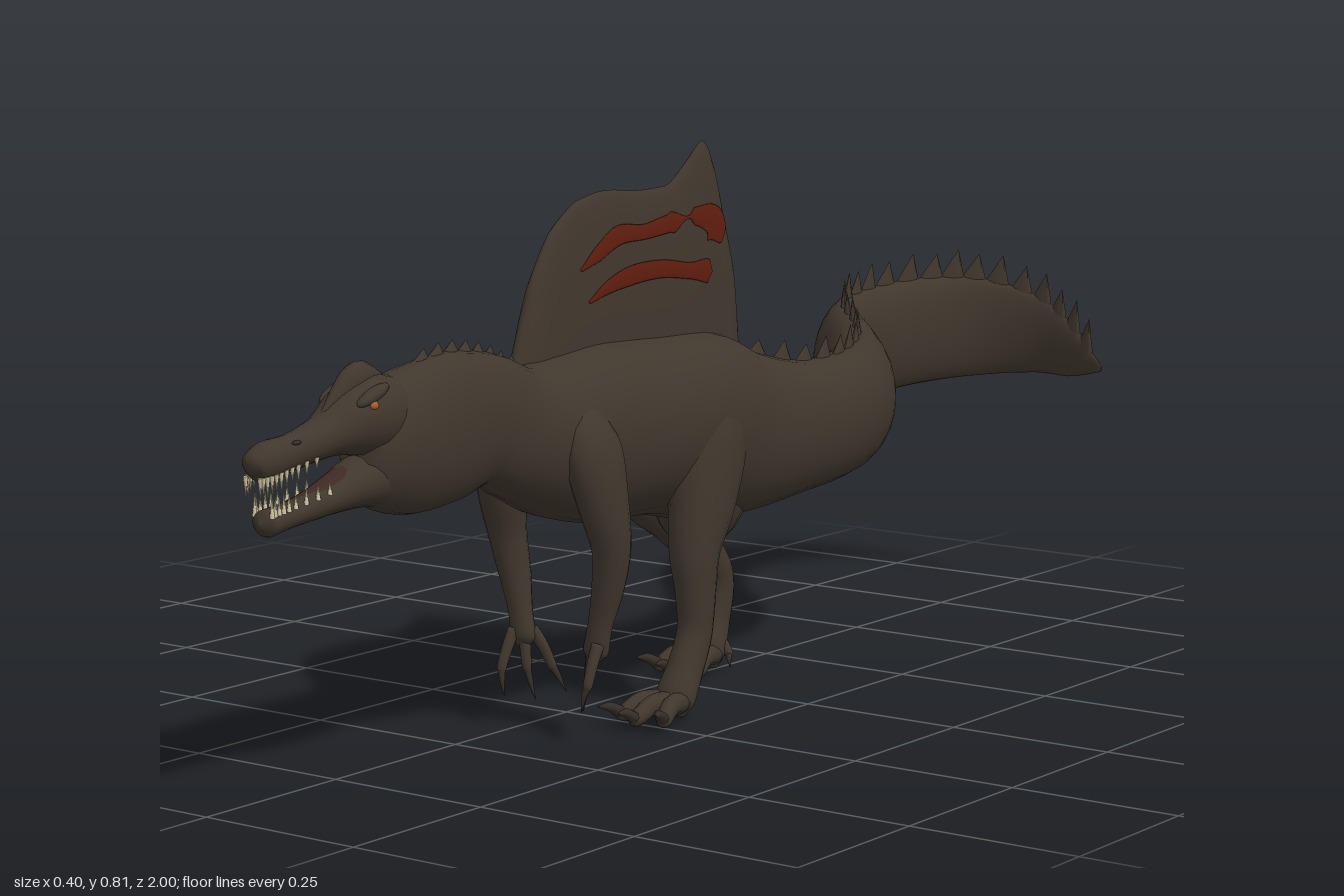
import * as THREE from 'three';

const mat = (name, color) => {
  const m = new THREE.MeshStandardMaterial({ color });
  m.name = name;
  return m;
};
const V = (x, y, z) => new THREE.Vector3(x, y, z);

// Smooth centre line and radii through sections [x, y, z, sideRadius, refRadius]
function makeTrack(sections) {
  const path = new THREE.CatmullRomCurve3(sections.map(s => V(s[0], s[1], s[2])));
  const radii = new THREE.CatmullRomCurve3(sections.map(s => V(s[3], s[4], 0)));
  return t => {
    const r = radii.getPoint(t);
    return { p: path.getPoint(t), t: path.getTangent(t), a: Math.max(r.x, 0.0005), b: Math.max(r.y, 0.0005) };
  };
}

// Skin of elliptical rings along a track; ref is the rough direction of the second radius,
// and rule may adjust each point
function loft(sections, ref, sides = 16, perSection = 4, rule = q => q) {
  const track = makeTrack(sections), rows = (sections.length - 1) * perSection;
  const pos = [], idx = [];
  for (let i = 0; i <= rows; i++) {
    const { p, t, a, b } = track(i / rows);
    const side = ref.clone().cross(t).normalize(), up = t.clone().cross(side);
    for (let j = 0; j < sides; j++) {
      const th = (j / sides) * Math.PI * 2;
      const q = rule(p.clone().addScaledVector(side, a * Math.cos(th)).addScaledVector(up, b * Math.sin(th)));
      pos.push(q.x, q.y, q.z);
      if (i < rows) {
        const k = (j + 1) % sides, A = i * sides + j, B = i * sides + k;
        idx.push(A, B, A + sides, B, B + sides, A + sides);
      }
    }
  }
  for (let j = 1; j < sides - 1; j++) {
    const e = rows * sides;
    idx.push(0, j + 1, j, e, e + j, e + j + 1);
  }
  const g = new THREE.BufferGeometry();
  g.setAttribute('position', new THREE.Float32BufferAttribute(pos, 3));
  g.setIndex(idx);
  g.computeVertexNormals();
  return g;
}

export function createModel() {
  const root = new THREE.Group();
  const X = V(1, 0, 0), Y = V(0, 1, 0);
  const skin = mat('dark brown skin', 0x40372d);
  const red = mat('rust red marking', 0x5e1d0e);
  const tooth = mat('ivory teeth', 0xd2c6a4);
  const claw = mat('dark claw', 0x352e27);
  const eyeMat = mat('amber eye', 0xa8602c);
  const mouth = mat('mouth flesh', 0x3e2a23);
  const add = (name, geo, m, parent = root) => {
    const mesh = new THREE.Mesh(geo, m);
    mesh.name = name;
    parent.add(mesh);
    return mesh;
  };
  const ball = (name, m, p, s) => {
    const b = add(name, new THREE.SphereGeometry(1, 16, 12), m);
    b.position.set(...p);
    b.scale.set(...s);
    return b;
  };

  // Neck, trunk and curling tail
  const bodySections = [
    [0.09, 0.475, 0.80, 0.03, 0.05], [0.09, 0.465, 0.76, 0.056, 0.088], [0.09, 0.462, 0.70, 0.058, 0.1],
    [0.092, 0.47, 0.62, 0.052, 0.102], [0.088, 0.47, 0.54, 0.053, 0.09], [0.075, 0.44, 0.46, 0.068, 0.093],
    [0.06, 0.425, 0.38, 0.094, 0.112], [0.053, 0.415, 0.26, 0.106, 0.13], [0.052, 0.41, 0.14, 0.112, 0.13],
    [0.055, 0.395, 0.02, 0.104, 0.14], [0.07, 0.375, -0.08, 0.085, 0.122], [0.09, 0.37, -0.2, 0.07, 0.1],
    [0.085, 0.375, -0.32, 0.066, 0.095], [0.05, 0.385, -0.42, 0.062, 0.095], [-0.015, 0.395, -0.51, 0.055, 0.095],
    [-0.095, 0.405, -0.6, 0.05, 0.095], [-0.15, 0.412, -0.7, 0.042, 0.092], [-0.16, 0.42, -0.8, 0.036, 0.09],
    [-0.12, 0.43, -0.9, 0.03, 0.088], [-0.06, 0.432, -0.958, 0.022, 0.082], [0.03, 0.422, -0.985, 0.015, 0.065],
    [0.11, 0.4, -0.972, 0.01, 0.042], [0.185, 0.382, -0.94, 0.002, 0.005],
  ];
  add('body', loft(bodySections, Y, 24, 5), skin);
  ball('pelvisKeel', skin, [0.055, 0.3, 0.0], [0.06, 0.09, 0.09]);

  // Scutes along the top of the neck and tail
  const bodyTrack = makeTrack(bodySections), last = bodySections.length - 1;
  const scutes = new THREE.Group();
  scutes.name = 'scutes';
  root.add(scutes);
  const scute = (section, h, len) => {
    const s = bodyTrack(section / last);
    const m = add('scute', new THREE.ConeGeometry(0.5, 1, 8), skin, scutes);
    m.rotation.set(0.2, Math.atan2(s.t.x, s.t.z), 0, 'YXZ');
    m.position.set(s.p.x, s.p.y + s.b + h * 0.2, s.p.z);
    m.scale.set(0.016, h, len);
  };
  for (let i = 0; i < 27; i++) scute(10.3 + i * 0.43, 0.032 + 0.034 * (i / 26) + (i % 2) * 0.008, 0.056);
  for (let i = 0; i < 8; i++) scute(2.4 + i * 0.36, 0.02, 0.036);

  // Sail, a thin lens with its foot sunk in the back: [z, top height]
  const base = 0.45, sailX = 0.05, sailW = 0.024;
  const crest = [[0.445, 0.47], [0.437, 0.51], [0.42, 0.56], [0.39, 0.64], [0.346, 0.706], [0.29, 0.743], [0.22, 0.754],
    [0.14, 0.748], [0.078, 0.75], [0.03, 0.78], [-0.012, 0.81], [-0.035, 0.775], [-0.056, 0.706], [-0.078, 0.64],
    [-0.09, 0.54], [-0.095, 0.46]];
  add('sail', loft(crest.map(([z, y], i) =>
    [sailX, base, z, sailW * Math.min(1, 0.25 + 0.25 * Math.min(i, 15 - i)), y - base]), Y, 40, 4,
  q => q.setY(Math.max(q.y, base - 0.03))), skin);

  // Rust markings lying on both faces of the sail: [z, y, half height]
  const sailTop = z => {
    const i = Math.max(1, crest.findIndex(c => c[0] <= z));
    const [z0, y0] = crest[i - 1], [z1, y1] = crest[i];
    return y0 + (y1 - y0) * (z - z0) / (z1 - z0);
  };
  const stripes = [
    [[0.30, 0.648, 0.002], [0.26, 0.668, 0.011], [0.21, 0.69, 0.014], [0.15, 0.69, 0.011], [0.09, 0.697, 0.013],
      [0.03, 0.703, 0.013], [-0.01, 0.695, 0.024], [-0.024, 0.68, 0.03], [-0.03, 0.66, 0.003]],
    [[0.285, 0.602, 0.002], [0.24, 0.62, 0.01], [0.18, 0.632, 0.014], [0.11, 0.634, 0.013], [0.05, 0.626, 0.012],
      [0.005, 0.622, 0.018], [-0.005, 0.62, 0.002]],
  ];
  for (const s of [-1, 1]) for (const stripe of stripes) {
    add('sailMarking', loft(stripe.map(([z, y, h]) => [sailX, y, z, 0.004, h]), Y, 16, 6, q => {
      const k = (q.y - base) / (sailTop(q.z) - base);
      const outward = s * (q.x - sailX) * 0.4;
      return q.setX(sailX + s * (sailW * Math.sqrt(Math.max(0, 1 - k * k)) + 0.0015 + outward));
    }), red);
  }

  // Skull and lower jaw
  const upper = [
    [0.09, 0.5, 0.72, 0.04, 0.045], [0.09, 0.505, 0.78, 0.05, 0.054], [0.09, 0.5, 0.82, 0.044, 0.046],
    [0.09, 0.487, 0.87, 0.03, 0.028], [0.088, 0.474, 0.93, 0.022, 0.024], [0.086, 0.468, 0.97, 0.025, 0.026],
    [0.085, 0.461, 0.993, 0.018, 0.02], [0.085, 0.456, 1.0, 0.003, 0.004]];
  const lower = [
    [0.09, 0.425, 0.72, 0.045, 0.05], [0.09, 0.42, 0.8, 0.038, 0.035], [0.09, 0.405, 0.87, 0.026, 0.021],
    [0.087, 0.393, 0.94, 0.02, 0.017], [0.085, 0.388, 0.972, 0.021, 0.018], [0.085, 0.386, 0.985, 0.003, 0.004]];
  add('skull', loft(upper, Y, 20), skin);
  add('lowerJaw', loft(lower, Y, 20), skin);
  add('tongue', loft([[0.09, 0.44, 0.76, 0.03, 0.03], [0.09, 0.43, 0.83, 0.022, 0.014],
    [0.088, 0.412, 0.9, 0.013, 0.007], [0.087, 0.408, 0.94, 0.003, 0.003]], Y, 12), mouth);
  add('headCrest', loft([[0.09, 0.515, 0.87, 0.003, 0.002], [0.09, 0.535, 0.83, 0.012, 0.022],
    [0.09, 0.548, 0.80, 0.016, 0.03], [0.09, 0.545, 0.75, 0.005, 0.01]], Y, 12), skin);
  for (const s of [-1, 1]) {
    ball('browRidge', skin, [0.09 + s * 0.032, 0.536, 0.806], [0.011, 0.009, 0.032]).rotation.x = 0.35;
    ball('eye', eyeMat, [0.09 + s * 0.0395, 0.524, 0.812], [0.005, 0.006, 0.007]);
    ball('nostril', claw, [0.087 + s * 0.019, 0.489, 0.935], [0.004, 0.003, 0.008]);
  }

  // Teeth in two rows per jaw, longest at the front
  const teethRow = (sections, from, to, n, dir) => {
    const track = makeTrack(sections);
    for (let i = 0; i < n; i++) for (const s of [-1, 1]) {
      const { p, a, b } = track(from + (to - from) * i / (n - 1));
      const len = 0.018 + 0.01 * (i / n) + (i % 3) * 0.003;
      const m = add('tooth', new THREE.ConeGeometry(0.0036, len, 6), tooth);
      m.position.set(p.x + s * a * 0.78, p.y + dir * (b * 0.55 + len * 0.5), p.z);
      if (dir < 0) m.rotation.x = Math.PI;
    }
  };
  teethRow(upper, 0.5, 0.88, 11, -1);
  teethRow(lower, 0.42, 0.85, 9, 1);

  // A digit: tapered finger or toe ending in a hooked claw
  const digit = (name, a, b, tip, r, ref) => {
    const mid = a.clone().lerp(b, 0.55).add(V(0, r * 0.5, 0));
    add(name, loft([[...a, r, r], [...mid, r * 0.85, r * 0.9], [...b, r * 0.75, r * 0.75],
      [...b.clone().lerp(tip, 0.25), r * 0.2, r * 0.2]], ref, 10), skin);
    const hook = b.clone().lerp(tip, 0.5).add(V(0, r * 0.35, r * 0.2));
    add(name + 'Claw', loft([[...b, r * 0.6, r * 0.6], [...hook, r * 0.42, r * 0.42], [...tip, 0.0005, 0.0005]], ref, 8), claw);
  };

  // Hind legs in mid-stride, left one forward
  const foot = (x, z) => {
    for (const k of [-1, 0, 1]) {
      digit('toe', V(x + k * 0.015, 0.026, z), V(x + k * 0.036, 0.016, z + 0.085 - Math.abs(k) * 0.018),
        V(x + k * 0.052, 0.03, z + 0.125 - Math.abs(k) * 0.02), 0.016, Y);
    }
    const inner = x > 0.065 ? -1 : 1;
    digit('rearToe', V(x + inner * 0.012, 0.045, z - 0.02), V(x + inner * 0.034, 0.026, z - 0.015),
      V(x + inner * 0.044, 0.008, z - 0.005), 0.009, Y);
  };
  add('leftLeg', loft([[0.1, 0.5, 0.07, 0.05, 0.02], [0.118, 0.4, 0.08, 0.09, 0.048], [0.135, 0.31, 0.105, 0.066, 0.042],
    [0.142, 0.235, 0.132, 0.043, 0.034], [0.146, 0.18, 0.135, 0.034, 0.028], [0.147, 0.12, 0.138, 0.028, 0.025],
    [0.147, 0.07, 0.16, 0.028, 0.026], [0.147, 0.03, 0.185, 0.027, 0.031], [0.147, 0.006, 0.195, 0.015, 0.02]], X), skin);
  foot(0.147, 0.195);
  add('rightLeg', loft([[0.008, 0.5, 0.04, 0.05, 0.02], [-0.012, 0.4, 0.04, 0.086, 0.046], [-0.024, 0.31, 0.03, 0.062, 0.041],
    [-0.018, 0.245, -0.03, 0.042, 0.034], [-0.01, 0.19, -0.09, 0.034, 0.028], [-0.008, 0.14, -0.13, 0.028, 0.025],
    [-0.008, 0.08, -0.125, 0.026, 0.024], [-0.008, 0.032, -0.105, 0.027, 0.031], [-0.008, 0.006, -0.1, 0.015, 0.02]], X), skin);
  foot(-0.008, -0.1);

  // Arms with three long clawed fingers, the left hand swung further forward
  for (const s of [-1, 1]) {
    const x = d => 0.062 + s * d, swing = s > 0 ? 0.03 : 0.012;
    const arm = [[0.055, 0.47, 0.36, 0.03, 0.02], [0.08, 0.41, 0.365, 0.052, 0.034], [0.092, 0.34, 0.35, 0.042, 0.032],
      [0.097, 0.27, 0.33, 0.03, 0.026], [0.088, 0.21, 0.322, 0.024, 0.022], [0.078, 0.16, 0.322, 0.017, 0.018],
      [0.072, 0.125, 0.324, 0.015, 0.02], [0.07, 0.11, 0.326, 0.005, 0.008]];
    add(s > 0 ? 'leftArm' : 'rightArm', loft(arm.map(([d, y, z, a, b]) =>
      [x(d), y, z + swing * Math.min(1, (0.47 - y) / 0.3), a, b]), X), skin);
    for (const k of [-1, 0, 1]) {
      digit('finger', V(x(0.072 + k * 0.01), 0.135, 0.324 + swing + k * 0.008), V(x(0.062 + k * 0.022), 0.082, 0.328 + swing + k * 0.03),
        V(x(0.05 + k * 0.026), 0.036 + Math.abs(k) * 0.008, 0.324 + swing + k * 0.038), 0.0095, X);
    }
  }
  return root;
}
